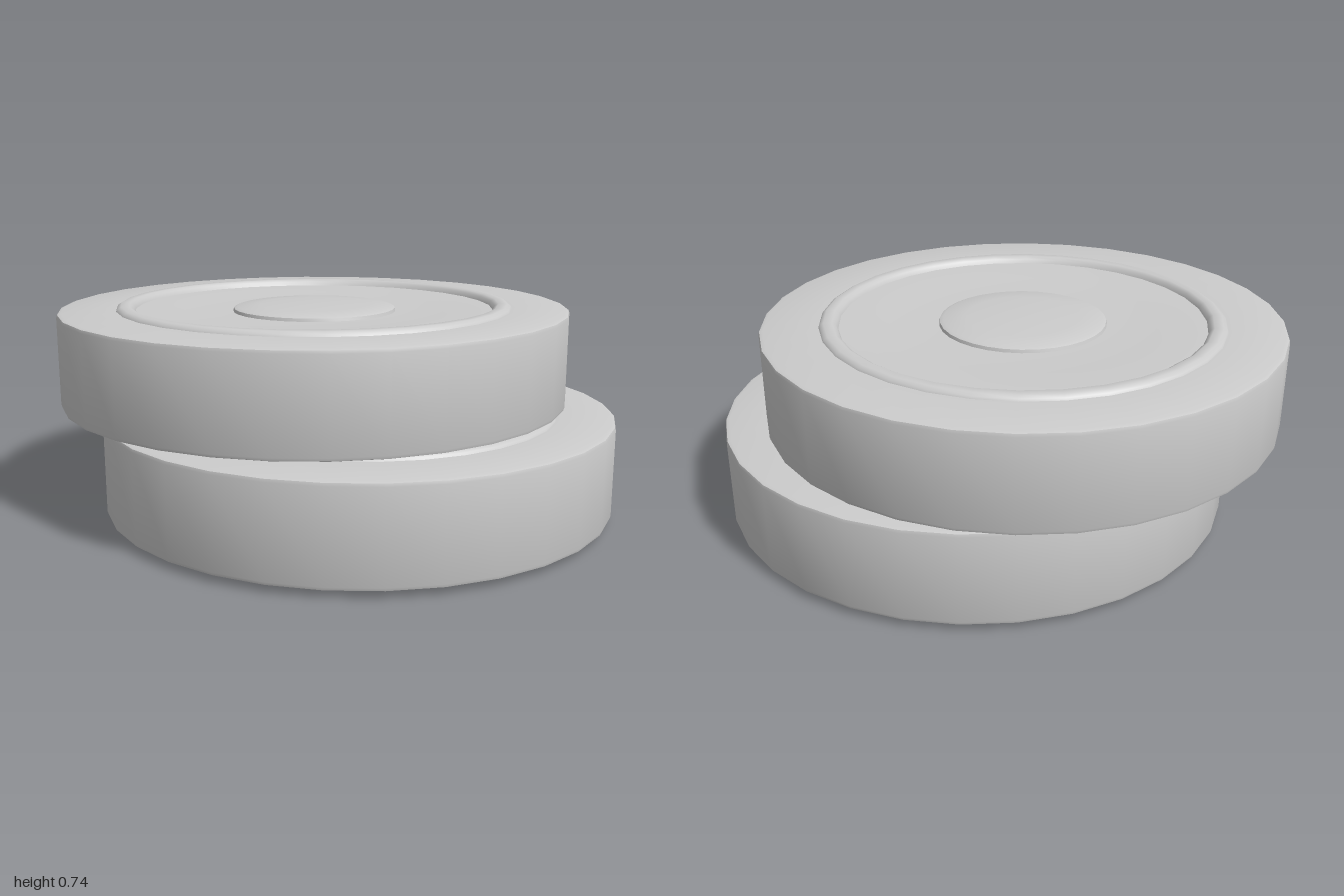
import * as THREE from 'three';
import { toCreasedNormals } from 'three/addons/utils/BufferGeometryUtils.js';

// Half section of one disc, from the underside axis, round the rim, to the top axis
const underside = [
  [0, 0.035], [0.285, 0.035], [0.295, 0.004],                    // shallow centre hole
  [0.33, 0.005], [0.38, 0.028], [0.43, 0.068], [0.48, 0.095],    // swell round the hole
  [0.53, 0.1], [0.57, 0.08], [0.6, 0.04], [0.615, 0.014],        // deep trough
  [0.63, 0.012], [0.645, 0.02],
];
const bottomRing = [[0.652, 0.008], [0.665, 0], [0.695, 0], [0.708, 0.008], [0.712, 0.022]];
const rim = [[0.9, 0.022], [0.912, 0.026], [0.915, 0.036], [0.915, 0.341], [0.912, 0.351], [0.9, 0.355]];
const topRing = [[0.712, 0.355], [0.708, 0.362], [0.695, 0.37], [0.665, 0.37], [0.652, 0.362], [0.645, 0.347]];
const topFace = [
  [0.56, 0.346], [0.47, 0.341], [0.38, 0.337], [0.296, 0.336],   // slightly dished floor
  [0.293, 0.347], [0.28, 0.352], [0.2, 0.358], [0.1, 0.362], [0, 0.363], // domed button
];

function createDisc(name, x, y, z) {
  const points = [...underside, ...bottomRing, ...rim, ...topRing, ...topFace]
    .map(([r, h]) => new THREE.Vector2(r, h));
  const geometry = toCreasedNormals(new THREE.LatheGeometry(points, 32), 0.7);
  const disc = new THREE.Mesh(geometry, new THREE.MeshStandardMaterial({ color: 0xcccccc }));
  disc.name = name;
  disc.position.set(x, y, z);
  return disc;
}

export function createModel() {
  const model = new THREE.Group();
  model.name = 'stackedDiscs';
  // Two equal discs, stacked a little off centre
  model.add(createDisc('lowerDisc', 0.085, 0, 0.03));
  model.add(createDisc('upperDisc', -0.085, 0.365, -0.03));
  return model;
}
